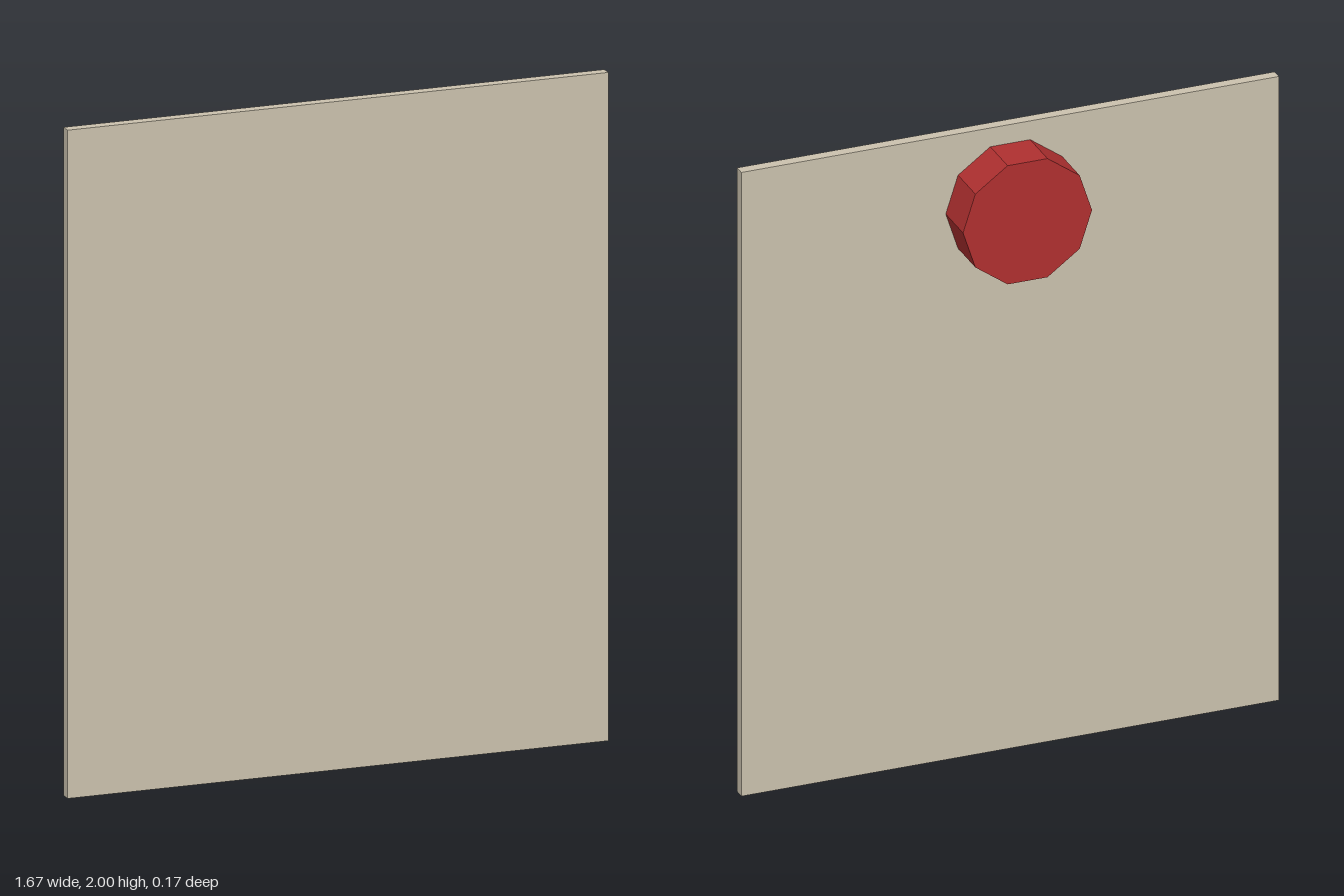
import * as THREE from 'three';

export function createModel() {
  const model = new THREE.Group();
  const cream = new THREE.MeshStandardMaterial({ color: 0xcbc2ae });
  cream.name = 'cream';
  const red = new THREE.MeshStandardMaterial({ color: 0xb03030 });
  red.name = 'red';

  const add = (name, geometry, material, x, y, z) => {
    const mesh = new THREE.Mesh(geometry, material);
    mesh.name = name;
    mesh.position.set(x, y, z);
    model.add(mesh);
  };

  // Thin upright sheet
  add('sheet', new THREE.BoxGeometry(1.667, 2, 0.033), cream, 0, 1, 0.067);

  // Ten-sided magnet on the back, with corners pointing left and right
  const disc = new THREE.CylinderGeometry(0.2, 0.2, 0.133, 10)
    .rotateY(Math.PI / 2)
    .rotateX(Math.PI / 2)
    .toNonIndexed();
  disc.computeVertexNormals();
  add('magnet', disc, red, 0, 1.75, -0.0165);

  return model;
}
